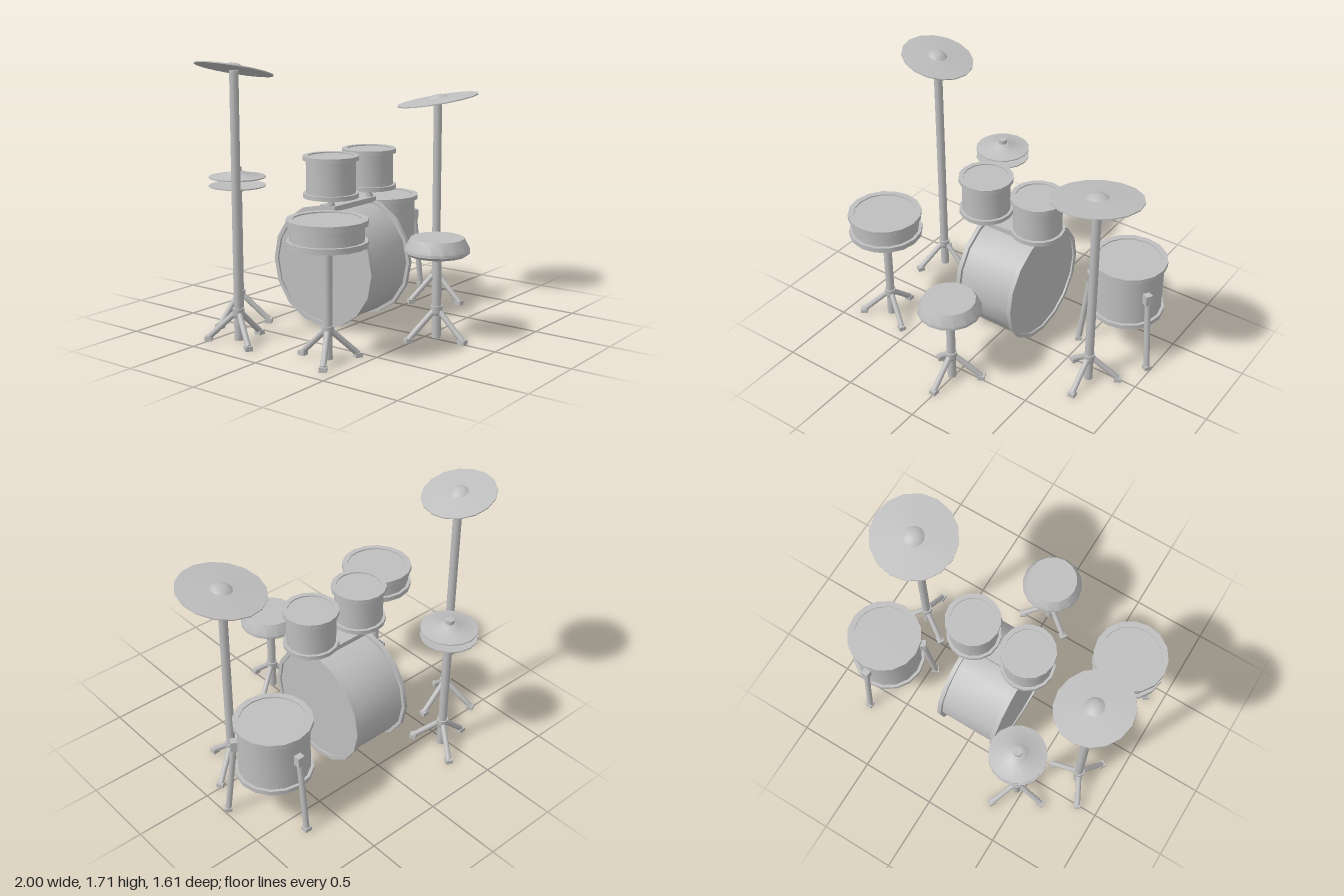
import * as THREE from 'three';
import { toCreasedNormals } from 'three/addons/utils/BufferGeometryUtils.js';

const SIDES = 16;
const UP = new THREE.Vector3(0, 1, 0);
const grey = new THREE.MeshStandardMaterial({ color: 0xbebebe });
grey.name = 'plain grey';

function add(parent, geometry, name, x = 0, y = 0, z = 0) {
  const mesh = new THREE.Mesh(geometry, grey);
  mesh.name = name;
  mesh.position.set(x, y, z);
  parent.add(mesh);
  return mesh;
}

function group(parent, name, x = 0, y = 0, z = 0) {
  const g = new THREE.Group();
  g.name = name;
  g.position.set(x, y, z);
  parent.add(g);
  return g;
}

// Turned solid with smooth sides and crisp rims; profile runs bottom to top
function turned(profile, sides = SIDES) {
  const points = profile.map(([r, y]) => new THREE.Vector2(r, y));
  return toCreasedNormals(new THREE.LatheGeometry(points, sides), 0.6);
}

// Round bar between two points
function bar(parent, name, a, b, radius) {
  const dir = b.clone().sub(a);
  const mesh = add(parent, new THREE.CylinderGeometry(radius, radius, dir.length(), 12), name);
  mesh.position.copy(a).add(b).multiplyScalar(0.5);
  mesh.quaternion.setFromUnitVectors(UP, dir.normalize());
}

function pole(parent, name, y0, y1, radius = 0.028) {
  add(parent, new THREE.CylinderGeometry(radius, radius, y1 - y0, 12), name, 0, (y0 + y1) / 2, 0);
}

// Drum centred on its axis: shell, two hoops and heads recessed inside the hoops
function drum(parent, name, height, hoopR, shellR, headR, hoopH, recess = 0.008) {
  const g = group(parent, name);
  const h = height / 2;
  add(g, turned([[0, -h + recess], [shellR, -h + recess], [shellR, h - recess], [0, h - recess]]), 'shellAndHeads');
  for (const s of [-1, 1]) {
    const lo = s < 0 ? -h : h - hoopH;
    const hi = lo + hoopH;
    add(g, turned([[headR, lo], [hoopR, lo], [hoopR, hi], [headR, hi], [headR, lo]]), 'hoop');
  }
  return g;
}

// Stand with collar, pole and three splayed legs; angle 0 points a leg at +z
function stand(parent, name, x, z, height, angle) {
  const g = group(parent, name, x, 0, z);
  pole(g, 'pole', 0.012, height);
  add(g, turned([[0, 0.155], [0.03, 0.155], [0.037, 0.17], [0.037, 0.212], [0, 0.212]], 12), 'collar');
  for (let i = 0; i < 3; i++) {
    const leg = group(g, 'leg');
    leg.rotation.y = angle + i * Math.PI * 2 / 3;
    bar(leg, 'legTube', new THREE.Vector3(0, 0.18, 0.02), new THREE.Vector3(0, 0.022, 0.187), 0.018);
    add(leg, new THREE.BoxGeometry(0.044, 0.028, 0.044), 'foot', 0, 0.014, 0.188);
  }
  return g;
}

// Thin cymbal disc with a raised bell
function cymbal(parent, name, y, radius, bellR, rise, bellH) {
  const t = 0.007;
  const outer = [[radius, 0], [radius, t], [bellR, rise + t],
    [bellR * 0.8, rise + bellH * 0.6], [bellR * 0.45, rise + bellH * 0.92], [0, rise + bellH]];
  return add(parent, turned([[0, rise], [bellR, rise], ...outer]), name, 0, y, 0);
}

export function createModel() {
  const kit = new THREE.Group();
  kit.name = 'drumKit';

  // Bass drum lying on its side
  const bass = drum(kit, 'bassDrum', 0.43, 0.39, 0.367, 0.362, 0.027, 0.012);
  bass.position.set(-0.003, 0.388, -0.138);
  bass.rotation.z = Math.PI / 2;

  // Two toms on a shared mounting plate
  const toms = group(kit, 'mountedToms');
  add(toms, new THREE.BoxGeometry(0.43, 0.034, 0.118), 'mountPlate', -0.003, 0.768, -0.09);
  for (const x of [-0.2, 0.195]) {
    const tom = group(toms, 'tom', x, 0, -0.073);
    drum(tom, 'tomDrum', 0.26, 0.175, 0.156, 0.143, 0.028).position.y = 0.97;
    pole(tom, 'mountPost', 0.76, 0.86, 0.02);
    pole(tom, 'mountCollar', 0.78, 0.8, 0.025);
  }

  // Floor tom on three clamped legs
  const floorTom = group(kit, 'floorTom', 0.718, 0, -0.337);
  drum(floorTom, 'floorTomDrum', 0.39, 0.242, 0.222, 0.203, 0.03).position.y = 0.498;
  for (let i = 0; i < 3; i++) {
    const leg = group(floorTom, 'floorTomLeg');
    leg.rotation.y = Math.PI + i * Math.PI * 2 / 3;
    add(leg, new THREE.BoxGeometry(0.046, 0.07, 0.046), 'clamp', 0, 0.528, 0.238);
    bar(leg, 'legTube', new THREE.Vector3(0, 0.54, 0.238), new THREE.Vector3(0, 0.02, 0.295), 0.019);
    add(leg, new THREE.BoxGeometry(0.044, 0.028, 0.044), 'foot', 0, 0.014, 0.297);
  }

  // Snare drum
  const snare = stand(kit, 'snare', -0.725, 0.315, 0.7, Math.PI);
  drum(snare, 'snareDrum', 0.158, 0.237, 0.216, 0.199, 0.034).position.y = 0.761;

  // Stool with a bevelled cushion
  const stool = stand(kit, 'stool', -0.004, 0.587, 0.54, 0);
  add(stool, turned([[0, 0.532], [0.178, 0.532], [0.2, 0.55], [0.2, 0.568], [0.163, 0.636], [0, 0.636]]), 'seat');

  // Tall tilted cymbal
  const crash = stand(kit, 'crashCymbal', -0.77, -0.34, 1.645, Math.PI / 2);
  cymbal(crash, 'crashDisc', 1.648, 0.235, 0.06, 0.012, 0.03)
    .quaternion.setFromUnitVectors(UP, new THREE.Vector3(0.255, 1, 0).normalize());

  // Wide tilted cymbal
  const ride = stand(kit, 'rideCymbal', 0.717, 0.108, 1.375, 0);
  cymbal(ride, 'rideDisc', 1.373, 0.275, 0.067, 0.01, 0.03)
    .quaternion.setFromUnitVectors(UP, new THREE.Vector3(-0.1, 1, -0.14).normalize());

  // Facing pair of small cymbals with a rod and top nut
  const hat = stand(kit, 'hiHat', -0.457, -0.62, 0.87, -Math.PI / 2);
  pole(hat, 'rod', 0.86, 0.99, 0.012);
  cymbal(hat, 'upperHat', 0.941, 0.18, 0.07, 0.014, 0.03);
  cymbal(hat, 'lowerHat', 0.893, 0.18, 0.07, 0.014, 0.03).rotation.x = Math.PI;
  pole(hat, 'topNut', 0.965, 1.01, 0.028);

  return kit;
}
